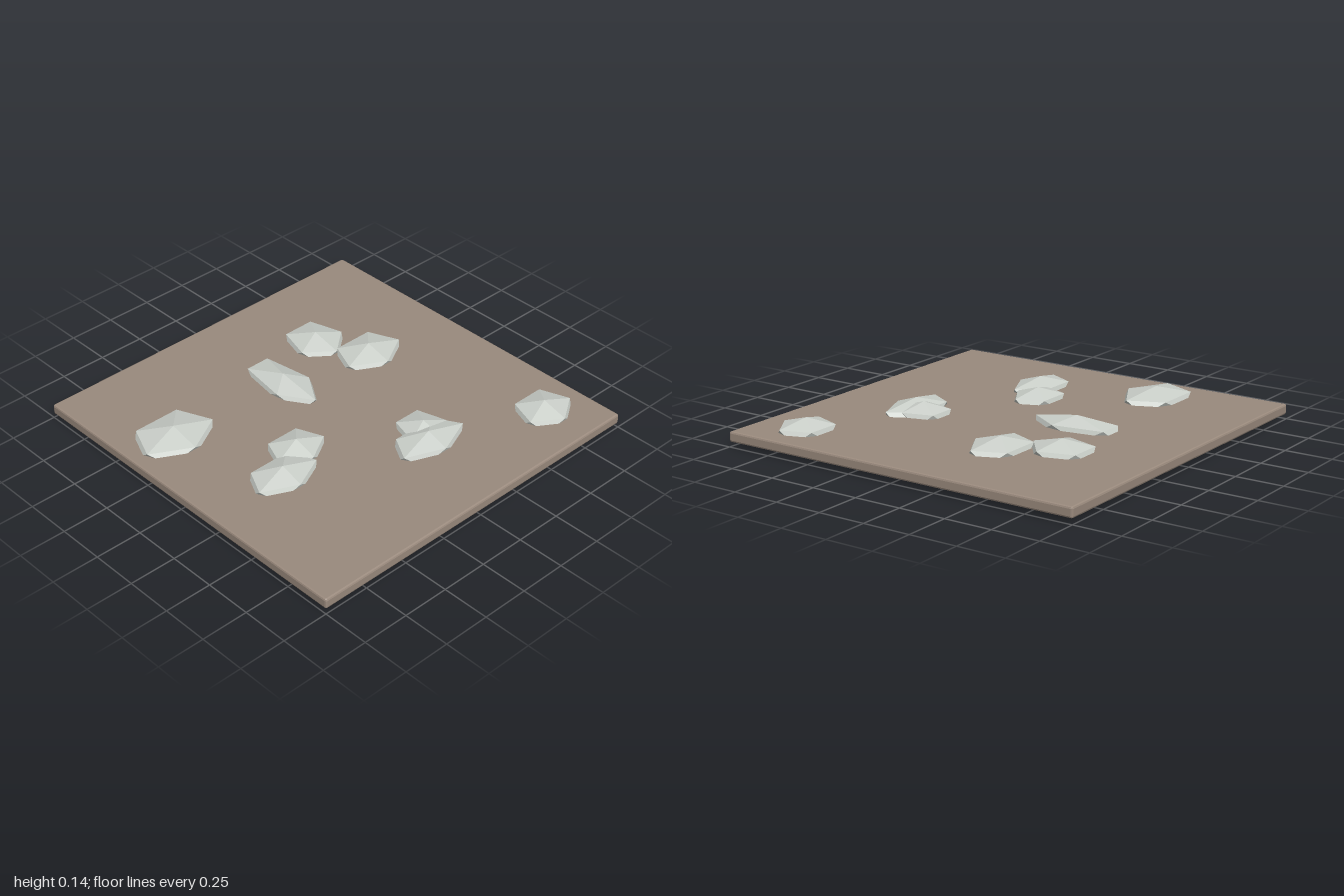
import * as THREE from 'three';
import { RoundedBoxGeometry } from 'three/addons/geometries/RoundedBoxGeometry.js';

// Each stone: centre x, centre z, ring radius along x, ring radius along z
const STONES = [
  [0.717, -0.754, 0.139, 0.155],
  [-0.241, -0.465, 0.145, 0.188],
  [-0.505, -0.335, 0.163, 0.148],
  [-0.344, 0.038, 0.242, 0.115],
  [-0.385, 0.723, 0.166, 0.218],
  [0.104, 0.358, 0.126, 0.155],
  [0.217, 0.547, 0.126, 0.193],
  [0.5, -0.154, 0.12, 0.215],
  [0.42, -0.198, 0.142, 0.127],
];

const HALF_HEIGHT = 0.07;
const RING = 2 / Math.sqrt(5); // ring radius of a unit icosahedron standing on a corner

// Unit icosahedron with one corner up and an upper-ring corner towards +x
function stoneGeometry() {
  const geometry = new THREE.IcosahedronGeometry(1, 0);
  geometry.rotateX(-Math.atan((1 + Math.sqrt(5)) / 2));
  geometry.rotateY(Math.PI / 2);
  return geometry;
}

export function createModel() {
  const model = new THREE.Group();
  model.name = 'stonyGroundTile';

  const earth = new THREE.MeshStandardMaterial({ color: 0x9a8a7d, flatShading: true });
  const rock = new THREE.MeshStandardMaterial({ color: 0xcbd0ca, flatShading: true });

  // Ground slab with narrow bevelled edges
  const slab = new THREE.Mesh(new RoundedBoxGeometry(2, 0.055, 2, 1, 0.01), earth);
  slab.name = 'groundSlab';
  slab.position.y = 0.0525;
  model.add(slab);

  // Flattened stones sunk through the slab
  const stones = new THREE.Group();
  stones.name = 'stones';
  const geometry = stoneGeometry();
  STONES.forEach(([x, z, rx, rz], i) => {
    const stone = new THREE.Mesh(geometry, rock);
    stone.name = `stone${i + 1}`;
    stone.position.set(x, HALF_HEIGHT, z);
    stone.scale.set(rx / RING, HALF_HEIGHT, rz / RING);
    stones.add(stone);
  });
  model.add(stones);

  return model;
}
